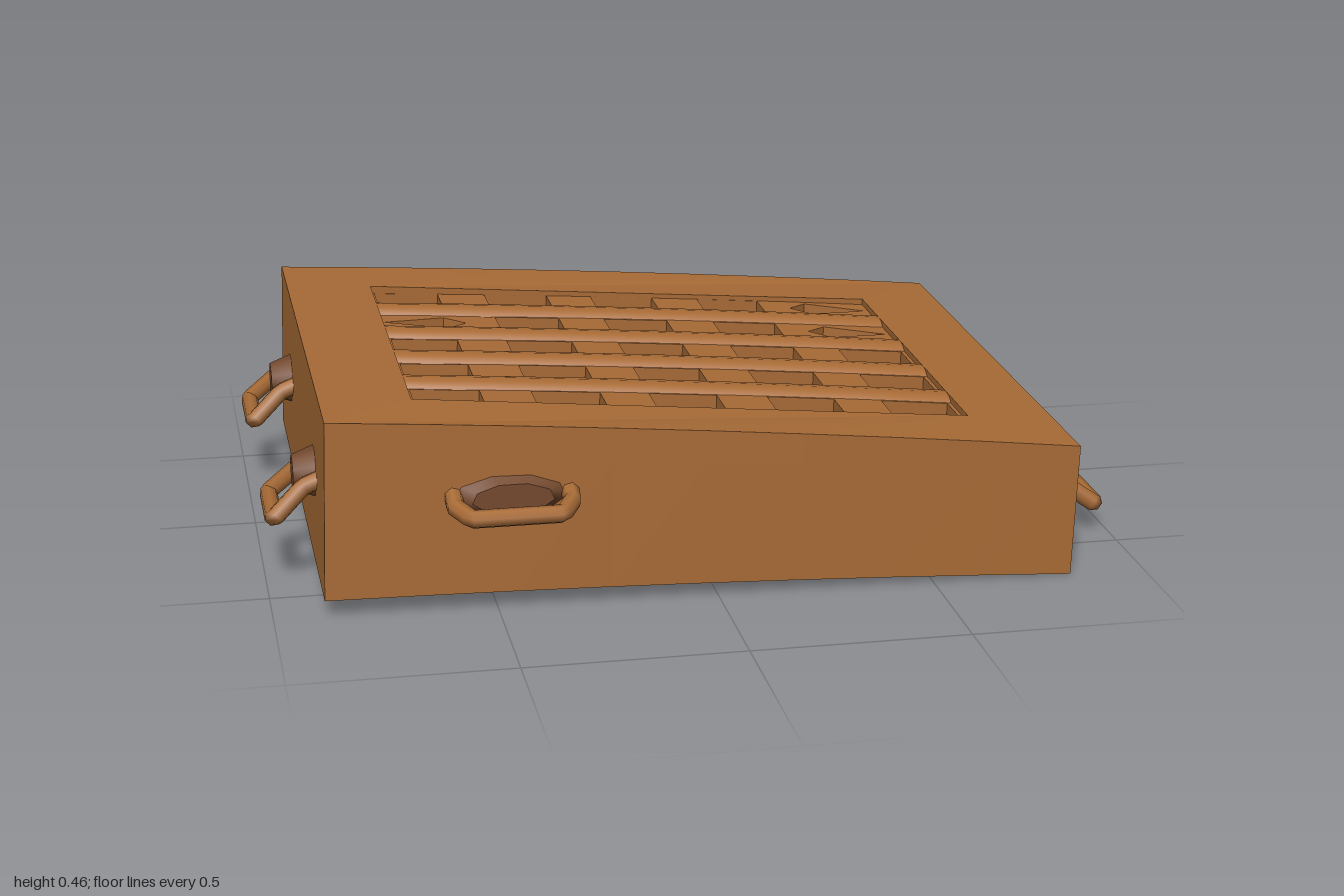
import * as THREE from 'three';

const wood = new THREE.MeshStandardMaterial({ color: 0xa86b36 });
wood.name = 'wood';
const recess = new THREE.MeshStandardMaterial({ color: 0x74492e });
recess.name = 'handleRecess';
const dark = new THREE.MeshStandardMaterial({ color: 0x33272a });
dark.name = 'darkInterior';

const X0 = -0.88, X1 = 0.83, MID = (X0 + X1) / 2, LEN = X1 - X0, HALF = 0.668;
const LID = 0.8; // share of the height where the lid begins

// Bend a straight block (y from 0 to 1) into the sloping, flaring crate
function warp(geo) {
  const p = geo.attributes.position;
  for (let i = 0; i < p.count; i++) {
    const x = p.getX(i), v = p.getY(i), t = (x - X0) / LEN;
    const bulge = 4 * t * (1 - t);
    const top = 0.46 - 0.147 * t + 0.01 * bulge;
    const bottom = 0.045 - 0.042 * t + 0.01 * bulge;
    p.setXYZ(i, x + 0.012 * (v - 0.5), bottom + (top - bottom) * v, p.getZ(i) * (HALF + 0.0263 * x) / HALF);
  }
  geo.computeVertexNormals();
  return geo;
}

function add(parent, name, geo, mat) {
  const m = new THREE.Mesh(geo, mat);
  m.name = name;
  parent.add(m);
  return m;
}

// Plate with holes lying flat between two heights
function plate(shape, v0, v1) {
  const g = new THREE.ExtrudeGeometry(shape, { depth: v1 - v0, bevelEnabled: false });
  return warp(g.rotateX(-Math.PI / 2).translate(0, v0, 0));
}

function rectPoints(x0, x1, z0, z1, n = 1) {
  const pts = [];
  for (let i = 0; i <= n; i++) pts.push(new THREE.Vector2(x0 + (x1 - x0) * i / n, z0));
  for (let i = n; i >= 0; i--) pts.push(new THREE.Vector2(x0 + (x1 - x0) * i / n, z1));
  return pts;
}

// Sloping loop handle with its mount; outward is +z, origin on the wall
function handle(name, { half, grip, up, down, reach, mount, mountH, bump }) {
  const g = new THREE.Group();
  g.name = name;
  const pts = [[-half, up, -0.02], [-half, up - 0.02, 0.03], [-grip, down, reach],
    [grip, down, reach], [half, up - 0.02, 0.03], [half, up, -0.02]]
    .map(a => new THREE.Vector3(...a));
  const path = new THREE.CurvePath();
  for (let i = 0; i < pts.length - 1; i++) path.add(new THREE.LineCurve3(pts[i], pts[i + 1]));
  add(g, 'handleBar', new THREE.TubeGeometry(path, 40, 0.021, 7), wood);
  const blob = new THREE.CylinderGeometry(0.6, 1, 1, 9).rotateX(Math.PI / 2);
  blob.scale(mount, mountH, bump + 0.02).translate(0, up - 0.01, (bump - 0.02) / 2);
  blob.computeVertexNormals();
  add(g, 'handleMount', blob, recess);
  return g;
}

export function createModel() {
  const model = new THREE.Group();
  model.name = 'crate';

  // Lower body
  const body = new THREE.BoxGeometry(LEN, LID, HALF * 2, 8, 1, 1).translate(MID, LID / 2, 0);
  add(model, 'body', warp(body), wood);

  // Raised rim around the grille
  const rim = new THREE.Shape(rectPoints(X0, X1, -HALF, HALF, 8));
  rim.holes.push(new THREE.Path(rectPoints(-0.67, 0.62, -0.48, 0.48, 1).reverse()));
  add(model, 'rim', plate(rim, LID, 1), wood);

  // Dark interior under the grille
  const floor = new THREE.BoxGeometry(1.31, 0.02, 0.98, 6, 1, 1).translate(-0.025, LID + 0.01, 0);
  add(model, 'interior', warp(floor), dark);

  // Grille with square openings, three of them tapered to a point
  const cols = [-0.58, -0.3, -0.025, 0.255, 0.53];
  const rows = [-0.42, -0.212, -0.005, 0.2, 0.405];
  const pointed = { '0,4': 1, '1,0': -1, '1,4': 1 };
  const grille = new THREE.Shape(rectPoints(-0.68, 0.63, -0.49, 0.49));
  rows.forEach((z, r) => cols.forEach((x, c) => {
    const side = pointed[r + ',' + c];
    const a = 0.08, b = 0.056;
    const pts = side
      ? [[x + side * a, -z], [x - side * 0.07, -z + 0.045], [x - side * 0.12, -z], [x - side * 0.07, -z - 0.045]]
        .map(q => new THREE.Vector2(...q))
      : rectPoints(x - a, x + a, -z - b, -z + b);
    grille.holes.push(new THREE.Path(pts));
  }));
  add(model, 'grille', plate(grille, LID + 0.03, 0.955), wood);

  // Rounded lengthwise slats between the rows
  for (let i = 0; i < 4; i++) {
    const slat = new THREE.CylinderGeometry(1, 1, 1.29, 12, 6, true).rotateZ(Math.PI / 2);
    slat.scale(1, 0.07, 0.046).translate(-0.025, 0.93, (rows[i] + rows[i + 1]) / 2);
    add(model, 'slat', warp(slat), wood);
  }

  // Handles: two on each end, one on each long side
  const end = { half: 0.07, grip: 0.09, up: 0.17, down: 0.075, reach: 0.14, mount: 0.075, mountH: 0.068, bump: 0.06 };
  for (const s of [-1, 1]) {
    const l = handle('leftEndHandle', end);
    l.position.set(0.825, 0, s * 0.345);
    l.rotation.y = Math.PI / 2;
    const r = handle('rightEndHandle', { ...end, up: 0.26, down: 0.175, reach: 0.1, bump: 0.05 });
    r.position.set(-0.88, 0, s * 0.355);
    r.rotation.y = -Math.PI / 2;
    const f = handle(s > 0 ? 'frontHandle' : 'backHandle',
      { half: 0.13, grip: 0.1, up: 0.28, down: 0.25, reach: 0.085, mount: 0.155, mountH: 0.06, bump: 0.025 });
    f.position.set(-0.465, 0, s * 0.655);
    f.rotation.y = s > 0 ? 0 : Math.PI;
    model.add(l, r, f);
  }
  return model;
}
